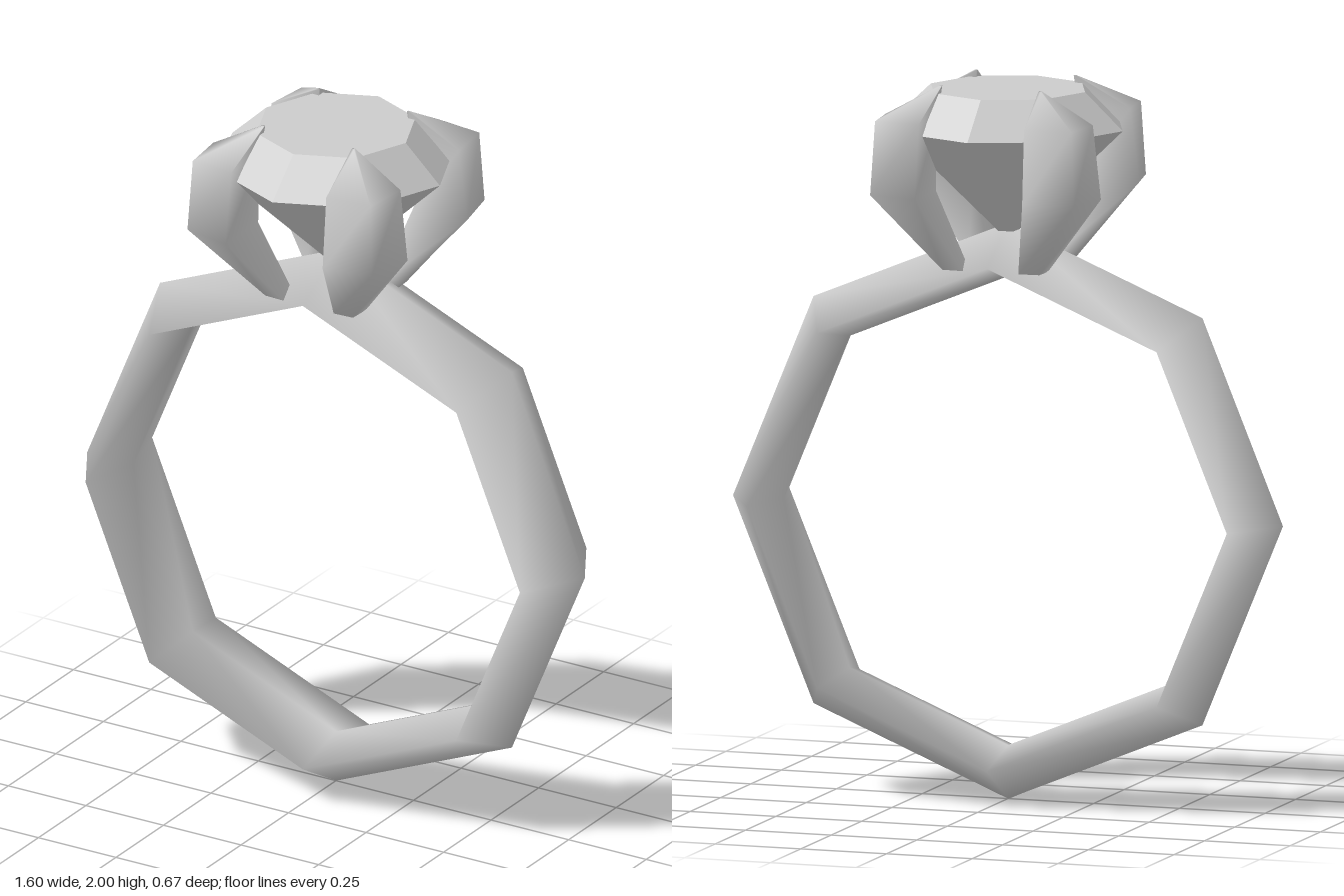
import * as THREE from 'three';
import { mergeVertices } from 'three/addons/utils/BufferGeometryUtils.js';

const smooth = () => new THREE.MeshStandardMaterial({ color: 0xcccccc });
const faceted = () => new THREE.MeshStandardMaterial({ color: 0xcccccc, flatShading: true });

// Weld seams so shading runs smoothly round the whole surface
function weld(geometry) {
  geometry.deleteAttribute('uv');
  geometry.deleteAttribute('normal');
  const welded = mergeVertices(geometry, 1e-4);
  welded.computeVertexNormals();
  return welded;
}

// Eight-sided band with a kite-shaped cross-section
function makeBand() {
  const profile = [[0.653, 0], [0.7, -0.175], [0.802, 0], [0.7, 0.175], [0.653, 0]];
  const lathe = new THREE.LatheGeometry(profile.map(([r, z]) => new THREE.Vector2(r, z)), 8);
  const band = new THREE.Mesh(weld(lathe.rotateX(Math.PI / 2)), smooth());
  band.name = 'band';
  band.position.y = 0.802;
  return band;
}

// Faceted stone: flat table, bevelled crown and pointed pavilion
function makeStone() {
  const profile = [[0, 1.555], [0.335, 1.877], [0.225, 1.98], [0, 1.98]];
  const geometry = new THREE.LatheGeometry(profile.map(([r, y]) => new THREE.Vector2(r, y)), 8);
  const stone = new THREE.Mesh(geometry, faceted());
  stone.name = 'stone';
  return stone;
}

// Claw lofted along +x from kite sections: height, inner, side and outer radius, half width
function makeClawGeometry() {
  const sections = [
    [1.487, 0.12, 0.16, 0.2, 0.045],
    [1.71, 0.22, 0.342, 0.42, 0.12],
    [1.915, 0.215, 0.322, 0.405, 0.105],
    [2.0, 0.2, 0.205, 0.21, 0.005],
  ];
  const positions = [];
  const index = [];
  for (const [y, inner, side, outer, w] of sections) {
    positions.push(inner, y, 0, side, y, w, outer, y, 0, side, y, -w);
  }
  for (let s = 0; s < sections.length - 1; s++) {
    for (let i = 0; i < 4; i++) {
      const a = s * 4 + i, b = s * 4 + (i + 1) % 4;
      index.push(a, b, b + 4, a, b + 4, a + 4);
    }
  }
  const t = (sections.length - 1) * 4;
  index.push(0, 2, 1, 0, 3, 2, t, t + 1, t + 2, t, t + 2, t + 3);
  const geometry = new THREE.BufferGeometry();
  geometry.setAttribute('position', new THREE.Float32BufferAttribute(positions, 3));
  geometry.setIndex(index);
  geometry.computeVertexNormals();
  return geometry;
}

export function createModel() {
  const model = new THREE.Group();
  model.name = 'ring';
  model.add(makeBand(), makeStone());

  // Four claws on the diagonals
  const claws = new THREE.Group();
  claws.name = 'claws';
  const geometry = makeClawGeometry();
  for (let i = 0; i < 4; i++) {
    const claw = new THREE.Mesh(geometry, smooth());
    claw.name = 'claw';
    claw.rotation.y = Math.PI / 4 + i * Math.PI / 2;
    claws.add(claw);
  }
  model.add(claws);
  return model;
}
